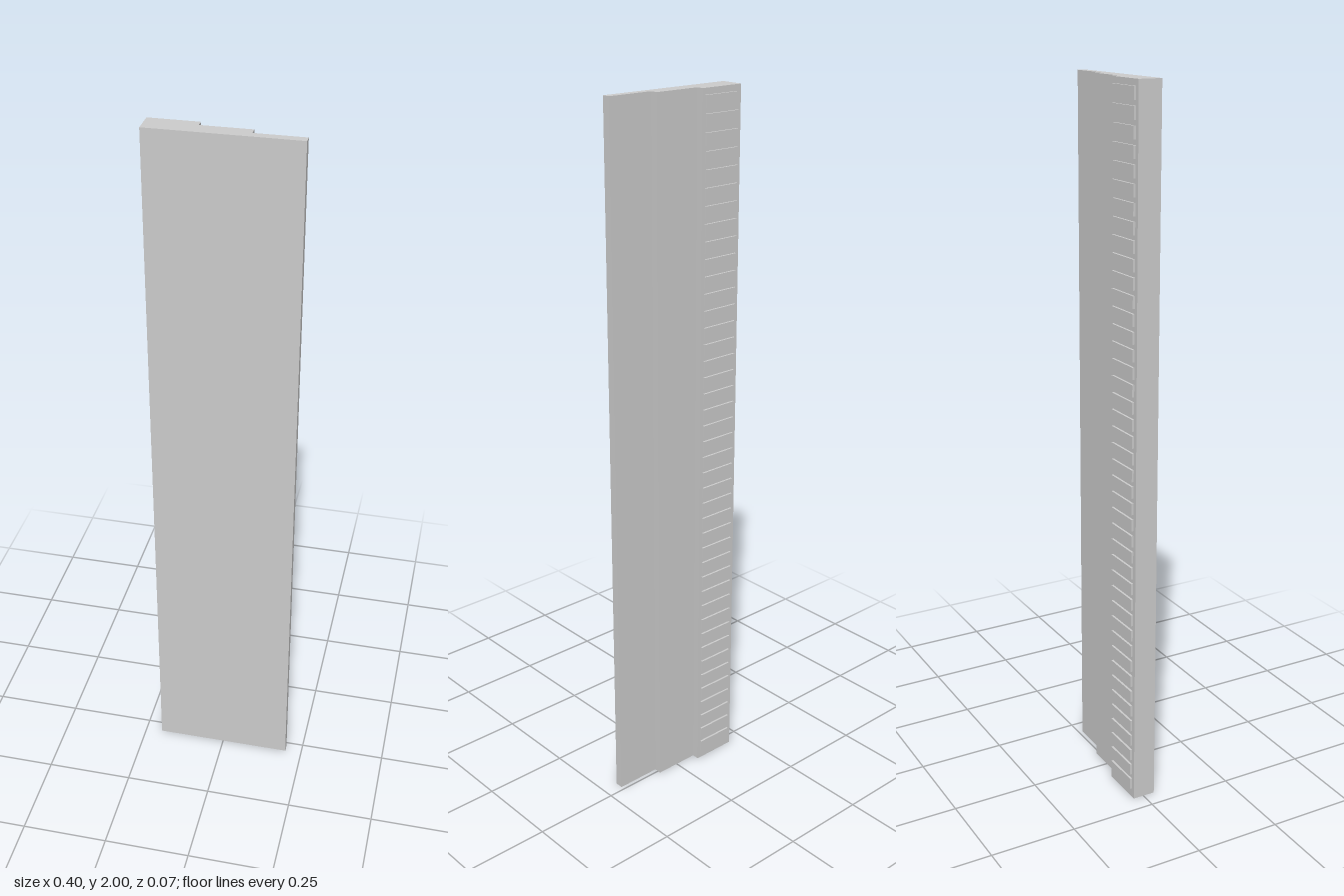
import * as THREE from 'three';

export function createModel() {
  const model = new THREE.Group();
  const material = new THREE.MeshStandardMaterial({ color: 0xcccccc, flatShading: true });

  // Stepped panel: profile in (x, -z), extruded upwards
  const profile = new THREE.Shape([
    [-0.2, -0.035], [0.2, -0.035], [0.2, -0.012], [0.067, -0.012],
    [0.067, 0.01], [-0.067, 0.01], [-0.067, 0.031], [-0.2, 0.031],
  ].map(([x, y]) => new THREE.Vector2(x, y)));
  const panelGeometry = new THREE.ExtrudeGeometry(profile, { depth: 2, bevelEnabled: false });
  panelGeometry.rotateX(-Math.PI / 2);
  const panel = new THREE.Mesh(panelGeometry, material);
  panel.name = 'steppedPanel';
  model.add(panel);

  // Row of shallow raised ribs up the thickest step
  const ribs = new THREE.Group();
  ribs.name = 'ribs';
  const count = 42;
  const pitch = 1.97 / count;
  const ribGeometry = new THREE.BoxGeometry(0.111, 0.033, 0.008);
  for (let i = 0; i < count; i++) {
    const rib = new THREE.Mesh(ribGeometry, material);
    rib.name = 'rib';
    rib.position.set(-0.132, 0.02 + (i + 0.5) * pitch, -0.033);
    ribs.add(rib);
  }
  model.add(ribs);

  return model;
}
